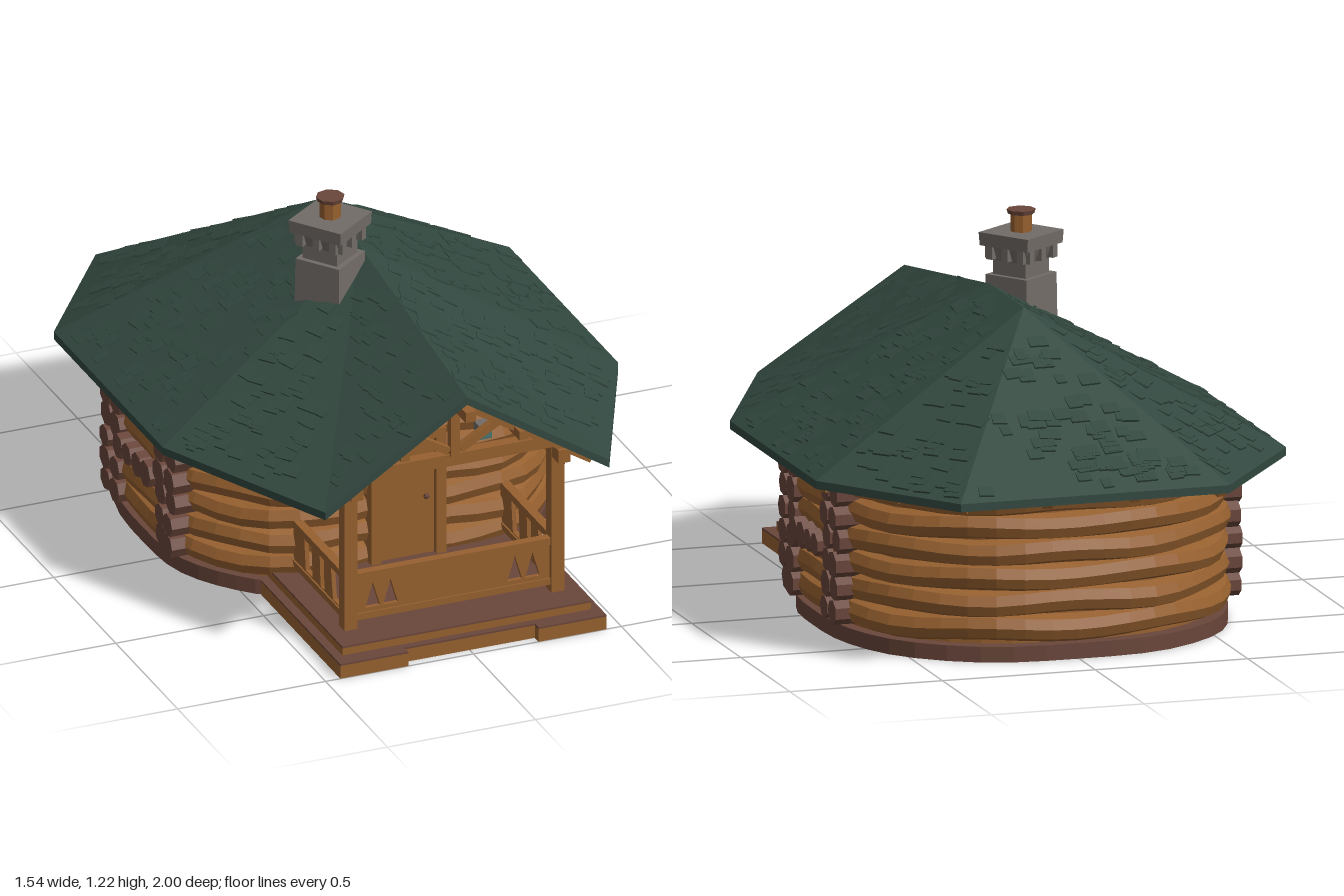
import * as THREE from 'three';
import { mergeGeometries } from 'three/addons/utils/BufferGeometryUtils.js';

const mat = (name, color, side = THREE.FrontSide) => {
  const m = new THREE.MeshStandardMaterial({ color, side, flatShading: true });
  m.name = name;
  return m;
};
const V = (x, y, z) => new THREE.Vector3(x, y, z);

export function createModel() {
  const wood = mat('wood', 0x96602f);
  const bark = mat('dark log ends', 0x6a463a);
  const green = mat('green shingles', 0x32483f, THREE.DoubleSide);
  const stone = mat('stone', 0x726c67);
  const teal = mat('teal glass', 0x4a7470);

  const root = new THREE.Group();
  root.name = 'logCabin';
  let seed = 7;
  const rnd = () => (seed = (seed * 16807) % 2147483647) / 2147483647;

  const add = (name, geo, m, x = 0, y = 0, z = 0, parent = root) => {
    const mesh = new THREE.Mesh(geo, m);
    mesh.name = name;
    mesh.position.set(x, y, z);
    parent.add(mesh);
    return mesh;
  };
  // box given by its limits
  const box = (name, x0, x1, y0, y1, z0, z1, m) =>
    add(name, new THREE.BoxGeometry(x1 - x0, y1 - y0, z1 - z0), m, (x0 + x1) / 2, (y0 + y1) / 2, (z0 + z1) / 2);
  // square timber between two points
  const beam = (name, a, b, w, h, m = wood) => {
    const mesh = add(name, new THREE.BoxGeometry(w, h, a.distanceTo(b)), m);
    mesh.position.copy(a).lerp(b, 0.5);
    mesh.lookAt(b);
    return mesh;
  };
  const mirror = (fn) => [1, -1].forEach(fn);

  // rounded floor plan
  const half = [[0.37, 0.37], [0.5, 0.26], [0.59, 0.1], [0.61, -0.12], [0.59, -0.38], [0.49, -0.6], [0.27, -0.76]];
  const plan = [[0, 0.38], ...half, [0, -0.79], ...half.map(([x, z]) => [-x, z]).reverse()];
  const curve = new THREE.CatmullRomCurve3(plan.map(([x, z]) => V(x, 0, z)), true, 'centripetal');
  const slab = (scale, height) => {
    const s = new THREE.Shape(curve.getPoints(44).map((p) => new THREE.Vector2(p.x * scale, -p.z * scale)));
    return new THREE.ExtrudeGeometry(s, { depth: height, bevelEnabled: false }).rotateX(-Math.PI / 2);
  };
  add('foundation', slab(1.06, 0.05), bark);
  add('wallCore', slab(1, 0.5), wood, 0, 0.05, 0);

  // stacked wall logs, slightly uneven
  for (let i = 0; i < 6; i++) {
    const geo = new THREE.TubeGeometry(curve, 48, 0.045, 8, true);
    const p = geo.attributes.position;
    for (let k = 0; k < p.count; k++) {
      const a = Math.atan2(p.getZ(k), p.getX(k));
      const r = 1 + 0.008 * Math.sin(a * 7 + i * 2);
      p.setXYZ(k, p.getX(k) * r, p.getY(k) + 0.006 * Math.sin(a * 9 + i * 3), p.getZ(k) * r);
    }
    add('wallLog', geo, wood, 0, 0.1 + i * 0.081, 0);
  }

  // crossing log ends on both sides
  mirror((s) => {
    const logEnd = (y, z, out) => {
      const r = 0.037 + rnd() * 0.008;
      const geo = new THREE.CylinderGeometry(r, r, 0.14, 7).rotateX(rnd() * 0.01).rotateZ(Math.PI / 2);
      add('logEnd', geo, bark, s * (out - 0.07), y, z + (rnd() - 0.5) * 0.012);
    };
    for (const z of [0.118, 0.04, -0.31, -0.395])
      for (let i = 0; i < 6; i++) logEnd(0.1 + i * 0.075, z, 0.655 + rnd() * 0.015);
    for (const z of [-0.035, -0.105, -0.175, -0.245]) logEnd(0.285, z, 0.68);
  });

  // porch base and deck
  box('porchBase', -0.22, 0.22, 0, 0.044, 0.3, 0.97, wood);
  box('porchBaseTop', -0.22, 0.22, 0.044, 0.05, 0.3, 0.97, bark);
  mirror((s) => {
    const [a, b] = s > 0 ? [0.22, 0.45] : [-0.45, -0.22];
    box('porchBaseSide', a, b, 0, 0.044, 0.3, 1, wood);
    box('porchBaseSideTop', a, b, 0.044, 0.05, 0.3, 1, bark);
  });
  box('deck', -0.42, 0.42, 0.05, 0.074, 0.3, 0.945, wood);
  box('deckTop', -0.42, 0.42, 0.074, 0.08, 0.3, 0.945, bark);

  // railing panel with triangular cut-outs
  const panel = (len, holes) => {
    const s = new THREE.Shape([[-len / 2, 0.11], [len / 2, 0.11], [len / 2, 0.25], [-len / 2, 0.25]].map((p) => new THREE.Vector2(...p)));
    for (const pts of holes) s.holes.push(new THREE.Path(pts.map((p) => new THREE.Vector2(...p))));
    return new THREE.ExtrudeGeometry(s, { depth: 0.014, bevelEnabled: false }).translate(0, 0, -0.007);
  };
  const tree = (x) => [[x - 0.025, 0.14], [x, 0.225], [x + 0.025, 0.14]];
  add('frontRailPanel', panel(0.68, [-0.27, -0.21, 0.21, 0.27].map(tree)), wood, 0, 0, 0.825);
  beam('frontRailTop', V(-0.34, 0.255, 0.825), V(0.34, 0.255, 0.825), 0.03, 0.024);
  beam('frontRailBottom', V(-0.34, 0.115, 0.825), V(0.34, 0.115, 0.825), 0.025, 0.022);
  const gap = (x, w) => [[x - w, 0.13], [x - w * 0.7, 0.235], [x + w, 0.24], [x + w * 0.6, 0.13]];
  mirror((s) => {
    add('sideRailPanel', panel(0.42, [gap(-0.135, 0.045), gap(-0.02, 0.02), gap(0.09, 0.035)]), wood, s * 0.35, 0, 0.61).rotation.y = Math.PI / 2;
    beam('sideRailTop', V(s * 0.35, 0.255, 0.4), V(s * 0.35, 0.255, 0.83), 0.03, 0.024);
    beam('sideRailBottom', V(s * 0.35, 0.115, 0.4), V(s * 0.35, 0.115, 0.83), 0.025, 0.022);
    // porch posts and beams
    box('porchPost', s * 0.35 - 0.022, s * 0.35 + 0.022, 0.08, 0.61, 0.803, 0.847, wood);
    beam('sideBeam', V(s * 0.35, 0.575, 0.36), V(s * 0.35, 0.575, 0.9), 0.04, 0.045);
    // gable truss
    beam('trussRafter', V(s * 0.45, 0.545, 0.87), V(0, 0.825, 0.87), 0.035, 0.035);
    beam('trussBrace', V(s * 0.02, 0.64, 0.84), V(s * 0.16, 0.72, 0.84), 0.025, 0.025);
    beam('purlin', V(s * 0.2, 0.69, 0.38), V(s * 0.2, 0.69, 0.93), 0.03, 0.03);
    // wall lanterns
    box('lanternGlass', s * 0.265 - 0.02, s * 0.265 + 0.02, 0.455, 0.49, 0.42, 0.47, teal);
    box('lanternCap', s * 0.265 - 0.025, s * 0.265 + 0.025, 0.49, 0.505, 0.415, 0.475, stone);
  });
  beam('tieBeam', V(-0.4, 0.605, 0.825), V(0.4, 0.605, 0.825), 0.04, 0.04);
  beam('kingPost', V(0, 0.62, 0.84), V(0, 0.81, 0.84), 0.03, 0.03);
  beam('ridgePole', V(0, 0.815, 0.35), V(0, 0.815, 0.98), 0.035, 0.035);

  // gable wall and door
  const gable = new THREE.Shape([[-0.44, 0.52], [0.44, 0.52], [0.4, 0.65], [0, 0.89], [-0.4, 0.65]].map((p) => new THREE.Vector2(...p)));
  add('gableWall', new THREE.ExtrudeGeometry(gable, { depth: 0.03, bevelEnabled: false }), wood, 0, 0, 0.37);
  box('door', -0.085, 0.105, 0.08, 0.49, 0.38, 0.435, wood);
  for (const x of [-0.1, 0.12]) box('doorJamb', x - 0.017, x + 0.017, 0.08, 0.51, 0.38, 0.455, wood);
  box('doorLintel', -0.117, 0.137, 0.485, 0.515, 0.38, 0.457, wood);
  add('doorKnob', new THREE.IcosahedronGeometry(0.011, 0), bark, 0.075, 0.28, 0.443);

  // roof planes, right half listed and mirrored
  const E = 0.56, T = 0.026;
  const B = [0.44, E, -1], C = [0.77, E, -0.55], D = [0.77, E, 0.33], F = [0.48, E, 0.95];
  const G = [0, 0.87, 0.95], R1 = [0, 1, 0.08], R2 = [0, 1, -0.27];
  const flip = ([x, y, z]) => [-x, y, z];
  const rightTris = [[B, C, R2], [C, D, R2], [D, R1, R2], [D, F, R1], [F, G, R1]];
  const tris = [[B, R2, flip(B)], ...rightTris, ...rightTris.map((t) => t.map(flip))].map((t) => {
    const v = t.map((p) => V(...p));
    const n = v[1].clone().sub(v[0]).cross(v[2].clone().sub(v[0])).normalize();
    if (n.y < 0) { v.reverse(); n.negate(); }
    return { v, n };
  });
  const triGeo = (pts) => {
    const g = new THREE.BufferGeometry().setFromPoints(pts);
    g.computeVertexNormals();
    return g;
  };
  const low = (p) => V(p.x, p.y - T, p.z);
  add('roofTop', triGeo(tris.flatMap(({ v }) => v)), green);
  add('roofUnderside', triGeo(tris.flatMap(({ v }) => [low(v[2]), low(v[1]), low(v[0])])), wood);
  const rim = [B, C, D, F, G, flip(F), flip(D), flip(C), flip(B)].map((p) => V(...p));
  add('roofEdge', triGeo(rim.flatMap((a, i) => {
    const b = rim[(i + 1) % rim.length];
    return [a, b, low(a), b, low(b), low(a)];
  })), green);

  // scattered raised shingles
  const shingles = [];
  for (const { v: [a, b, c], n } of tris) {
    const area = b.clone().sub(a).cross(c.clone().sub(a)).length() / 2;
    const u = V(0, 1, 0).cross(n).normalize(), w = u.clone().cross(n);
    for (let i = 0; i < area * 190; i++) {
      let s = 0.05 + rnd() * 0.88, t = 0.05 + rnd() * 0.88;
      if (s + t > 0.96) { s = 0.98 - s; t = 0.98 - t; }
      if (s < 0.03 || t < 0.03 || s + t > 0.96) continue;
      const p = a.clone().addScaledVector(b.clone().sub(a), s).addScaledVector(c.clone().sub(a), t);
      const g = new THREE.BoxGeometry(0.03 + rnd() * 0.04, 0.008, 0.04 + rnd() * 0.02);
      g.rotateX(0.09 * Math.sign(w.y)).rotateY((rnd() - 0.5) * 0.25);
      shingles.push(g.applyMatrix4(new THREE.Matrix4().makeBasis(u, n, w).setPosition(p)));
    }
  }
  add('shingles', mergeGeometries(shingles), green);

  // rafter tails below the eaves
  const rafter = (x, z, tx, tz, ty) => {
    const a = V(x * 0.97, E - T - 0.004, z * 0.97), top = V(tx, ty - T - 0.02, tz);
    beam('rafter', a, a.clone().lerp(top, 0.4), 0.03, 0.03);
  };
  mirror((s) => {
    for (const z of [-0.4, -0.2, 0, 0.2]) rafter(s * 0.77, z, 0, z * 0.6, 1);
    rafter(s * 0.77, -0.55, 0, -0.27, 1);
    rafter(s * 0.77, 0.33, 0, 0.08, 1);
    rafter(s * 0.44, -1, 0, -0.27, 1);
    rafter(s * 0.6, -0.78, 0, -0.27, 1);
    rafter(s * 0.15, -1, 0, -0.27, 1);
  });

  // chimney
  const chimney = new THREE.Group();
  chimney.name = 'chimney';
  chimney.position.set(-0.12, 0, 0.13);
  chimney.rotation.y = 0.63;
  root.add(chimney);
  const square = (name, bottom, top, y0, y1) => {
    const k = Math.SQRT1_2;
    add(name, new THREE.CylinderGeometry(top * k, bottom * k, y1 - y0, 4).rotateY(Math.PI / 4), stone, 0, (y0 + y1) / 2, 0, chimney);
  };
  square('chimneyShaft', 0.165, 0.158, 0.75, 1.015);
  square('chimneyNeck', 0.125, 0.125, 1.015, 1.06);
  square('chimneyFlare', 0.125, 0.165, 1.06, 1.11);
  square('chimneyCap', 0.185, 0.19, 1.108, 1.15);
  for (let side = 0; side < 4; side++)
    for (const o of [-0.06, 0, 0.06]) {
      const q = side * Math.PI / 2;
      const c = add('corbel', new THREE.BoxGeometry(0.024, 0.045, 0.025), stone,
        o * Math.cos(q) + 0.075 * Math.sin(q), 1.088, -o * Math.sin(q) + 0.075 * Math.cos(q), chimney);
      c.rotation.y = q;
    }
  add('chimneyPot', new THREE.CylinderGeometry(0.034, 0.034, 0.07, 8), wood, 0, 1.175, 0, chimney);
  add('chimneyPotLip', new THREE.CylinderGeometry(0.046, 0.042, 0.014, 8), bark, 0, 1.213, 0, chimney);
  return root;
}
